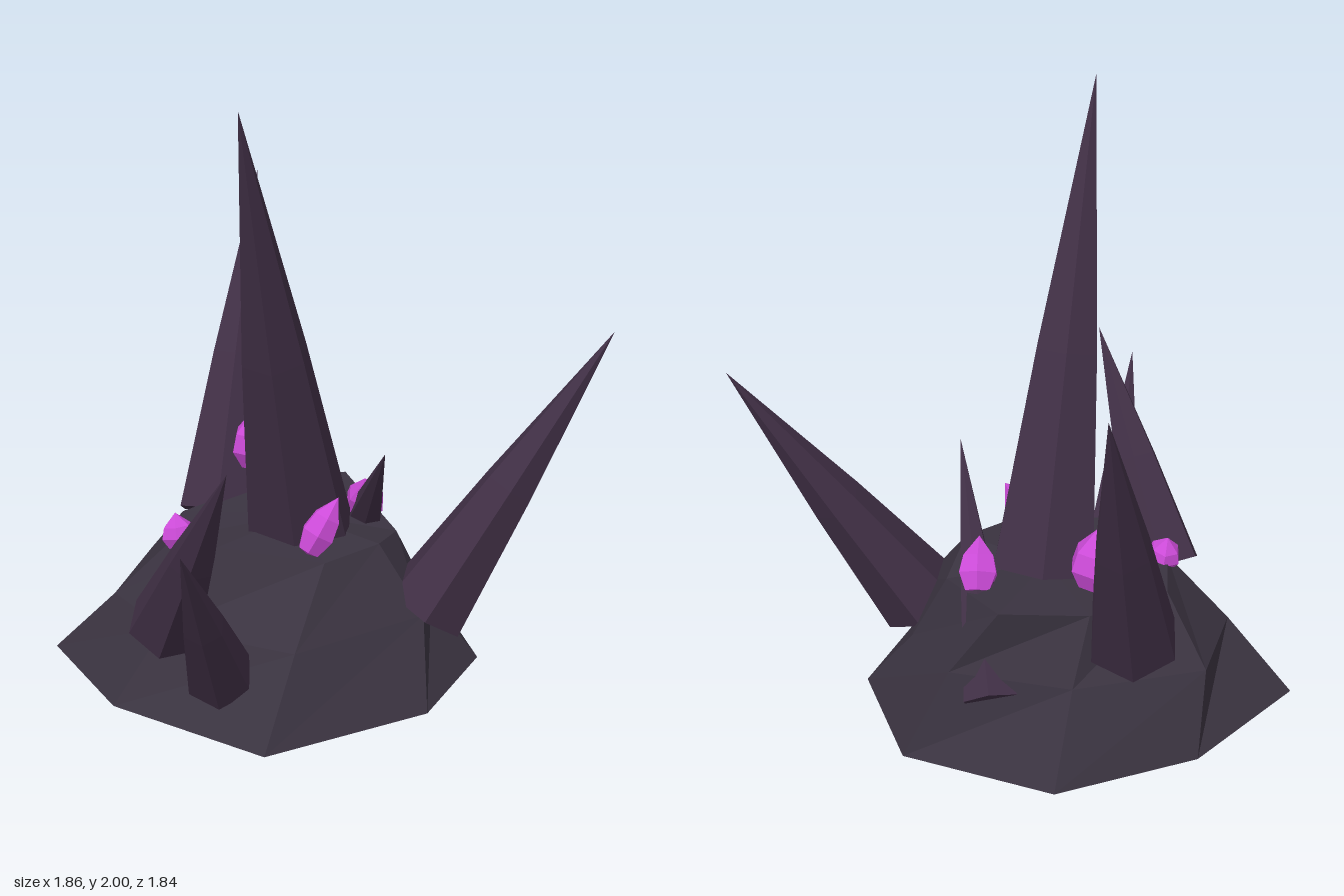
import * as THREE from 'three';

const rockMat = new THREE.MeshStandardMaterial({ name: 'dark rock', color: 0x3a3340 });
const spikeMat = new THREE.MeshStandardMaterial({ name: 'dusky purple spike', color: 0x402f45 });
const crystalMat = new THREE.MeshStandardMaterial({ name: 'magenta crystal', color: 0xcc4bd8 });

// Faceted normals: every triangle keeps its own corners
function faceted(geometry) {
  const g = geometry.index ? geometry.toNonIndexed() : geometry;
  g.computeVertexNormals();
  return g;
}

// Rock mound from three irregular eight-sided rings, capped top and bottom
function rockGeometry() {
  const rings = [
    [[-0.93, 0, -0.08], [-0.61, 0, -0.48], [-0.15, 0, -0.69], [0.35, 0, -0.51],
      [0.51, 0, -0.08], [0.35, 0, 0.35], [-0.15, 0, 0.68], [-0.67, 0, 0.36]],
    [[-0.71, 0.24, 0.0], [-0.63, 0.26, -0.35], [-0.2, 0.28, -0.51], [0.2, 0.3, -0.46],
      [0.35, 0.2, -0.1], [0.33, 0.26, 0.16], [-0.07, 0.25, 0.46], [-0.51, 0.25, 0.29]],
    [[-0.5, 0.46, 0.03], [-0.5, 0.46, -0.2], [-0.25, 0.49, -0.4], [0.04, 0.52, -0.45],
      [0.23, 0.44, -0.12], [0.18, 0.48, 0.09], [0.01, 0.47, 0.24], [-0.34, 0.5, 0.2]],
  ];
  const out = [];
  const tri = (a, b, c) => out.push(...a, ...b, ...c);
  for (let i = 0; i < 8; i++) {
    const j = (i + 1) % 8;
    for (let r = 0; r < 2; r++) {
      const low = rings[r], high = rings[r + 1];
      tri(low[j], low[i], high[i]);
      tri(low[j], high[i], high[j]);
    }
    tri([-0.15, 0, 0], rings[0][i], rings[0][j]);
    tri([-0.1, 0.5, -0.1], rings[2][j], rings[2][i]);
  }
  const g = new THREE.BufferGeometry();
  g.setAttribute('position', new THREE.Float32BufferAttribute(out, 3));
  return faceted(g);
}

// Six-sided turned solid whose axis runs from base to tip; profile is [radius, fraction of length]
function shard(name, material, base, tip, radius, profile) {
  const from = new THREE.Vector3(...base);
  const axis = new THREE.Vector3(...tip).sub(from);
  const length = axis.length();
  const points = profile.map(([r, t]) => new THREE.Vector2(r * radius, t * length));
  const mesh = new THREE.Mesh(faceted(new THREE.LatheGeometry(points, 6)), material);
  mesh.name = name;
  mesh.position.copy(from);
  mesh.quaternion.setFromUnitVectors(new THREE.Vector3(0, 1, 0), axis.normalize());
  return mesh;
}

export function createModel() {
  const model = new THREE.Group();
  model.name = 'spikedRock';

  const rock = new THREE.Mesh(rockGeometry(), rockMat);
  rock.name = 'rockBase';
  model.add(rock);

  // Long spikes: name, base centre, tip, base radius
  const spikeProfile = [[0, 0], [1, 0], [0.6, 0.45], [0, 1]];
  const spikes = [
    ['tallSpike', [-0.09, 0.46, -0.06], [-0.23, 2.0, 0.46], 0.19],
    ['backSpike', [-0.39, 0.39, -0.38], [-0.3, 1.48, -0.92], 0.155],
    ['leftSpike', [0.33, 0.24, 0.07], [0.93, 1.17, -0.08], 0.15],
    ['frontSpike', [-0.31, 0.15, 0.43], [-0.37, 0.77, 0.92], 0.115],
    ['frontRightSpike', [-0.5, 0.26, 0.29], [-0.25, 0.96, 0.73], 0.13],
    ['innerSpike', [0.06, 0.2, -0.47], [0.2, 0.82, 0.16], 0.1],
  ];
  for (const [name, base, tip, radius] of spikes) {
    model.add(shard(name, spikeMat, base, tip, radius, spikeProfile));
  }

  // Small glowing-coloured crystals, blunt below and pointed above
  const crystalProfile = [[0, 0], [0.65, 0.05], [1, 0.35], [0.8, 0.65], [0, 1]];
  const crystals = [
    ['backCrystal', [-0.26, 0.57, -0.35], [-0.27, 0.78, -0.34], 0.085],
    ['leftCrystal', [0.12, 0.46, -0.24], [0.12, 0.61, -0.12], 0.07],
    ['rightCrystal', [-0.48, 0.42, 0.03], [-0.5, 0.54, 0.01], 0.06],
    ['frontCrystal', [-0.05, 0.48, 0.19], [0.05, 0.66, 0.14], 0.06],
  ];
  for (const [name, base, tip, radius] of crystals) {
    model.add(shard(name, crystalMat, base, tip, radius, crystalProfile));
  }
  return model;
}
